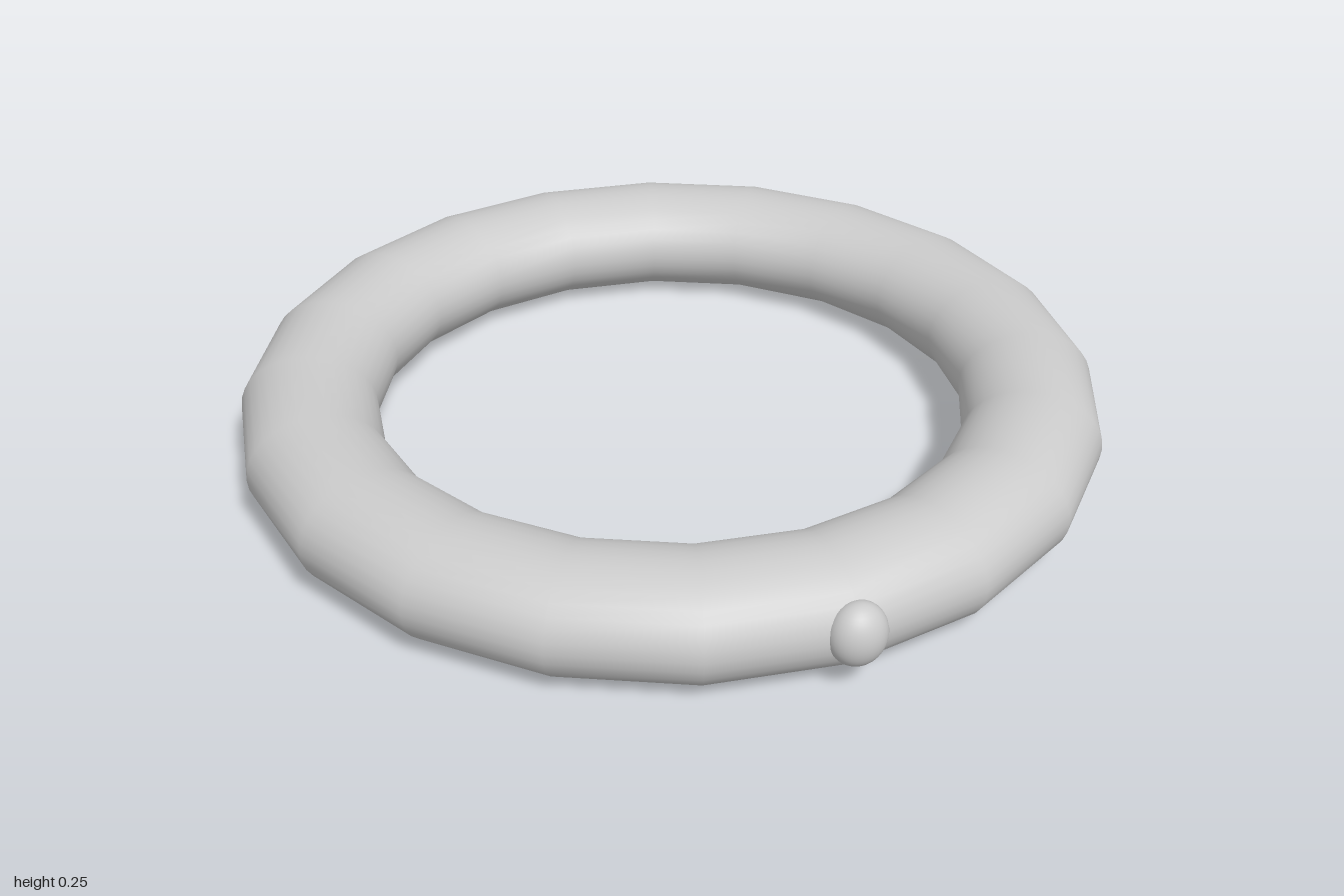
import * as THREE from 'three';

export function createModel() {
  const model = new THREE.Group();
  const material = new THREE.MeshStandardMaterial({ color: 0xcccccc });

  // Ring: 20-sided loop with a smooth, slightly flattened tube
  const ringGeometry = new THREE.TorusGeometry(0.827, 0.155, 32, 20);
  ringGeometry.rotateX(-Math.PI / 2);
  ringGeometry.scale(1, 0.125 / 0.155, 1);
  const ring = new THREE.Mesh(ringGeometry, material);
  ring.name = 'ring';
  ring.position.set(0, 0.125, -0.018);
  model.add(ring);

  // Stud: small oval bead set into the front of the ring
  const studGeometry = new THREE.SphereGeometry(1, 32, 20);
  studGeometry.scale(0.062, 0.07, 0.052);
  const stud = new THREE.Mesh(studGeometry, material);
  stud.name = 'stud';
  stud.position.set(0, 0.135, 0.948);
  model.add(stud);

  return model;
}
